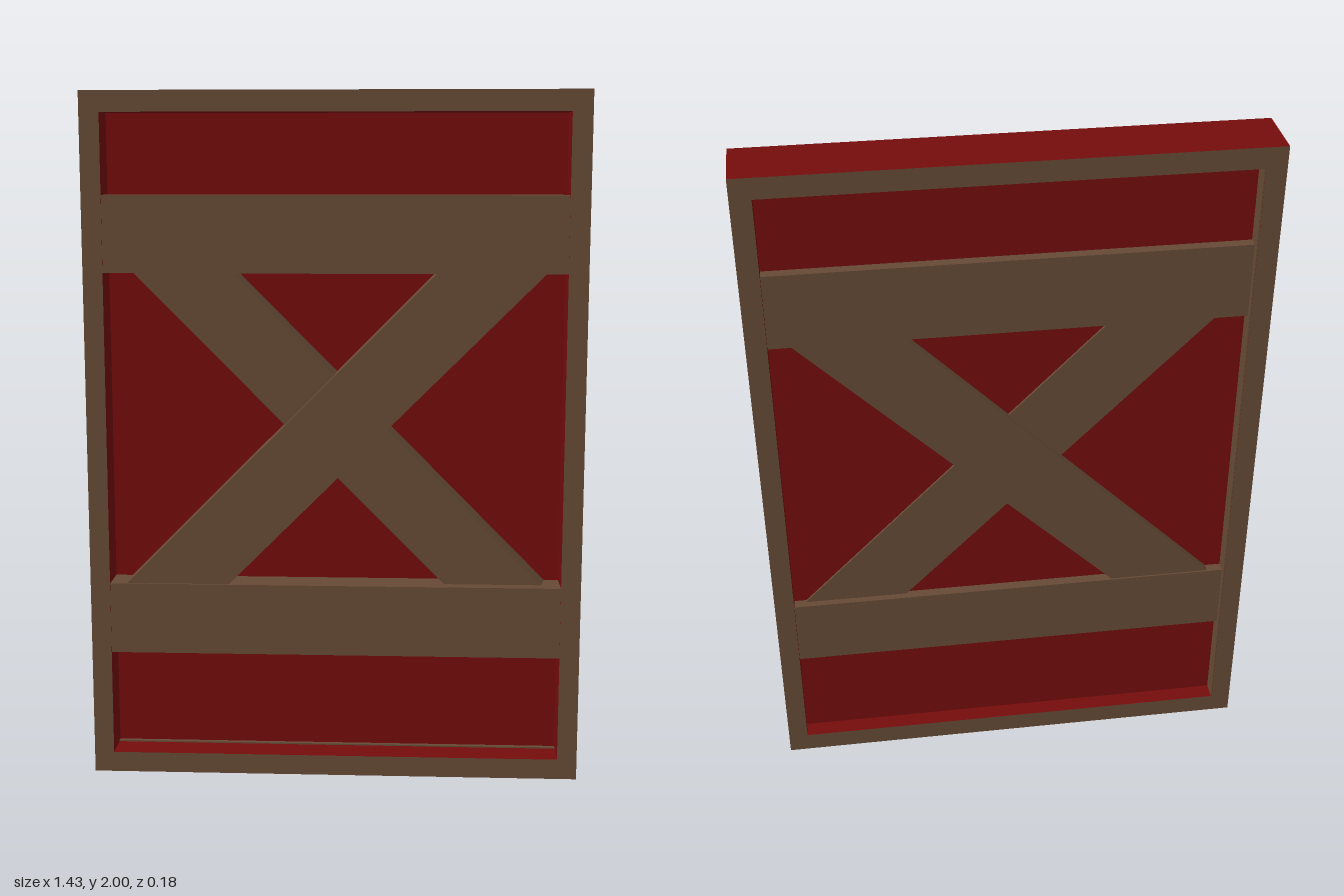
import * as THREE from 'three';

export function createModel() {
  const red = new THREE.MeshStandardMaterial({ color: 0x750c0c });
  red.name = 'barn red';
  const wood = new THREE.MeshStandardMaterial({ color: 0x664b35 });
  wood.name = 'brown wood';

  const model = new THREE.Group();
  model.name = 'barnDoor';

  const W = 0.7175, IN = 0.66;
  const PANEL_BACK = -0.04, PANEL_FRONT = -0.013;

  function add(name, geometry, material) {
    const mesh = new THREE.Mesh(geometry, material);
    mesh.name = name;
    model.add(mesh);
    return mesh;
  }
  // Box given by its limits on each axis
  function box(name, material, x0, x1, y0, y1, z0, z1) {
    const mesh = add(name, new THREE.BoxGeometry(x1 - x0, y1 - y0, z1 - z0), material);
    mesh.position.set((x0 + x1) / 2, (y0 + y1) / 2, (z0 + z1) / 2);
  }
  const rect = (x0, y0, x1, y1) => [[x0, y0], [x1, y0], [x1, y1], [x0, y1]]
    .map(([x, y]) => new THREE.Vector2(x, y));

  // Frame: brown front and back faces, red edges
  const outline = new THREE.Shape(rect(-W, 0, W, 2));
  outline.holes.push(new THREE.Path(rect(-IN, 0.06, IN, 1.94).reverse()));
  const frame = new THREE.ExtrudeGeometry(outline, { depth: 0.18, bevelEnabled: false });
  frame.translate(0, 0, -0.09);
  add('frame', frame, [wood, red]);

  // Recessed panel
  box('panel', red, -IN, IN, 0.06, 1.94, PANEL_BACK, PANEL_FRONT);

  // Bare wood inside the frame
  box('sideReveal', wood, -IN, -IN + 0.003, 0.06, 1.94, -0.089, PANEL_BACK);
  box('bottomReveal', wood, -IN, IN, 0.06, 0.064, PANEL_FRONT, 0);

  // Horizontal rails, standing out on both sides
  box('upperRail', wood, -IN, IN, 1.49, 1.71, -0.07, 0.088);
  box('lowerRail', wood, -IN, IN, 0.37, 0.58, -0.07, 0.088);

  // Diagonal brace; its ends run into the rails, flare widens the upper edge at the panel
  function brace(name, bottomLeft, bottomRight, topLeft, topRight, z0, z1, flare) {
    const ext = 0.05;
    const lean = Math.sign(topLeft - bottomLeft) * ext;
    const shape = new THREE.Shape([
      [bottomLeft - lean, 0.58 - ext], [bottomRight - lean, 0.58 - ext],
      [topRight + lean, 1.49 + ext], [topLeft + lean, 1.49 + ext],
    ].map(([x, y]) => new THREE.Vector2(x, y)));
    const geo = new THREE.ExtrudeGeometry(shape, { depth: z1 - z0, bevelEnabled: false });
    geo.translate(0, 0, z0);
    const p = geo.attributes.position;
    for (let i = 0; i < p.count; i++) {
      const mid = p.getY(i) < 1 ? (bottomLeft + bottomRight) / 2 - lean : (topLeft + topRight) / 2 + lean;
      if (p.getZ(i) < (z0 + z1) / 2 && p.getX(i) > mid) p.setX(i, p.getX(i) + flare);
    }
    geo.computeVertexNormals();
    add(name, geo, wood);
  }
  brace('risingBrace', -0.61, -0.31, 0.29, 0.60, -0.065, 0.082, 0);
  brace('fallingBrace', 0.32, 0.605, -0.58, -0.295, -0.05, 0.05, 0.02);

  return model;
}
